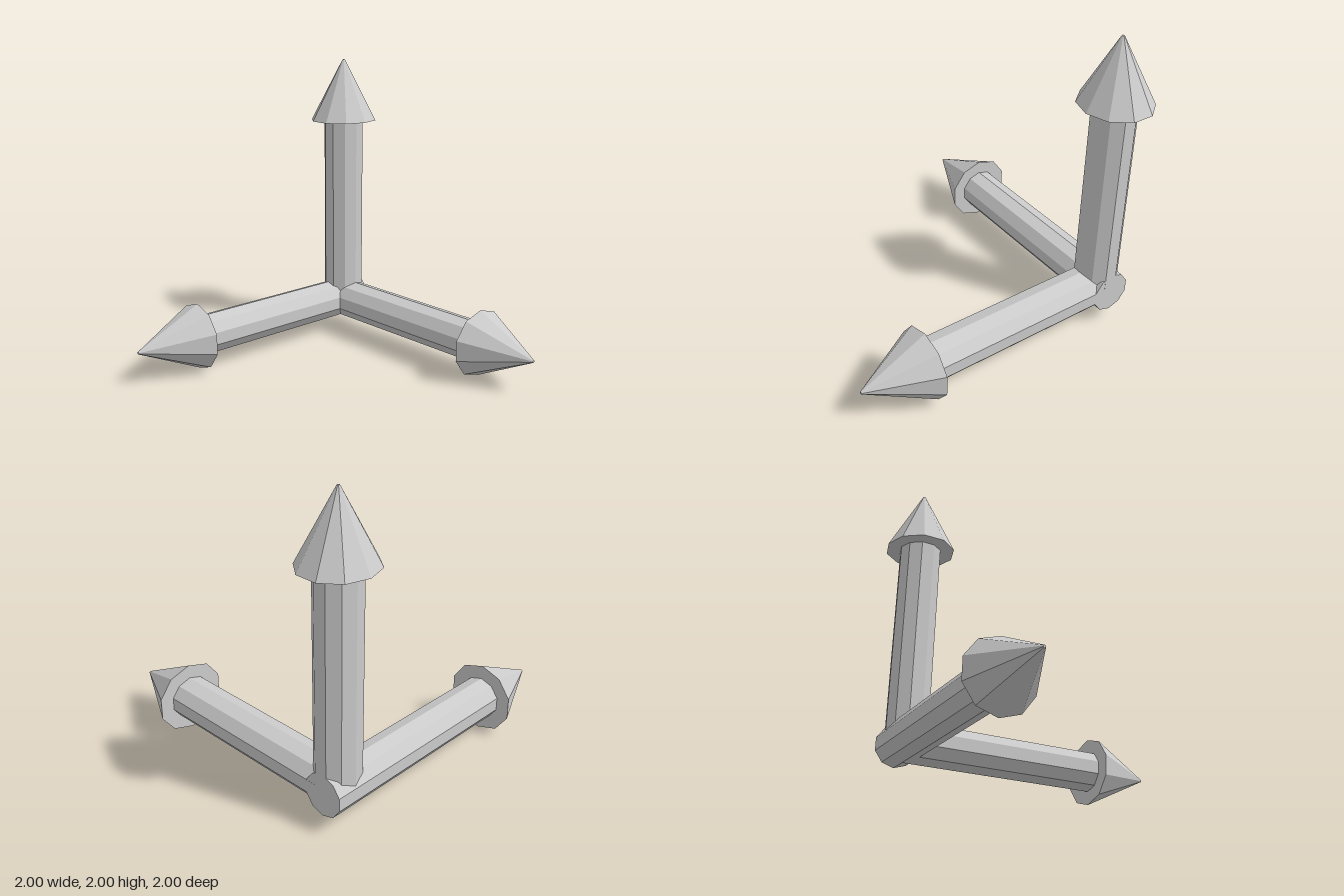
import * as THREE from 'three';

const SIDES = 10, SHAFT_R = 0.136, HEAD_R = 0.227, TIP_R = 0.008;

// One arrow along +y from start to tip, flattened or widened along z by stretch
function makeArrow(name, material, start, neck, tip, stretch) {
  const arrow = new THREE.Group();
  arrow.name = name;
  const section = (part, rTop, rBottom, from, to) => {
    const geometry = new THREE.CylinderGeometry(rTop, rBottom, to - from, SIDES);
    geometry.rotateY(Math.PI / 2); // corners on the x axis
    geometry.scale(1, 1, stretch);
    geometry.translate(0, (from + to) / 2, 0);
    const mesh = new THREE.Mesh(geometry, material);
    mesh.name = part;
    arrow.add(mesh);
  };
  section('shaft', SHAFT_R, SHAFT_R, start, neck);
  section('arrowHead', TIP_R, HEAD_R, neck, tip);
  return arrow;
}

export function createModel() {
  const model = new THREE.Group();
  model.name = 'axisArrows';
  const material = new THREE.MeshStandardMaterial({ color: 0xcccccc, flatShading: true });

  // Upright arrow
  const up = makeArrow('upArrow', material, 0.27, 1.57, 2, 1.07);
  up.position.set(-0.77, 0, -0.769);

  // Arrow to the model's left
  const side = makeArrow('sideArrow', material, -0.78, 0.56, 1, 1.07);
  side.rotation.z = -Math.PI / 2;
  side.position.set(0, 0.231, -0.769);

  // Forward arrow, its back end flush with the side arrow's shaft
  const forward = makeArrow('forwardArrow', material, -0.907, 0.535, 1, 1);
  forward.rotation.set(0, -Math.PI / 2, -Math.PI / 2);
  forward.position.set(-0.785, 0.231, 0);

  model.add(up, side, forward);
  return model;
}
